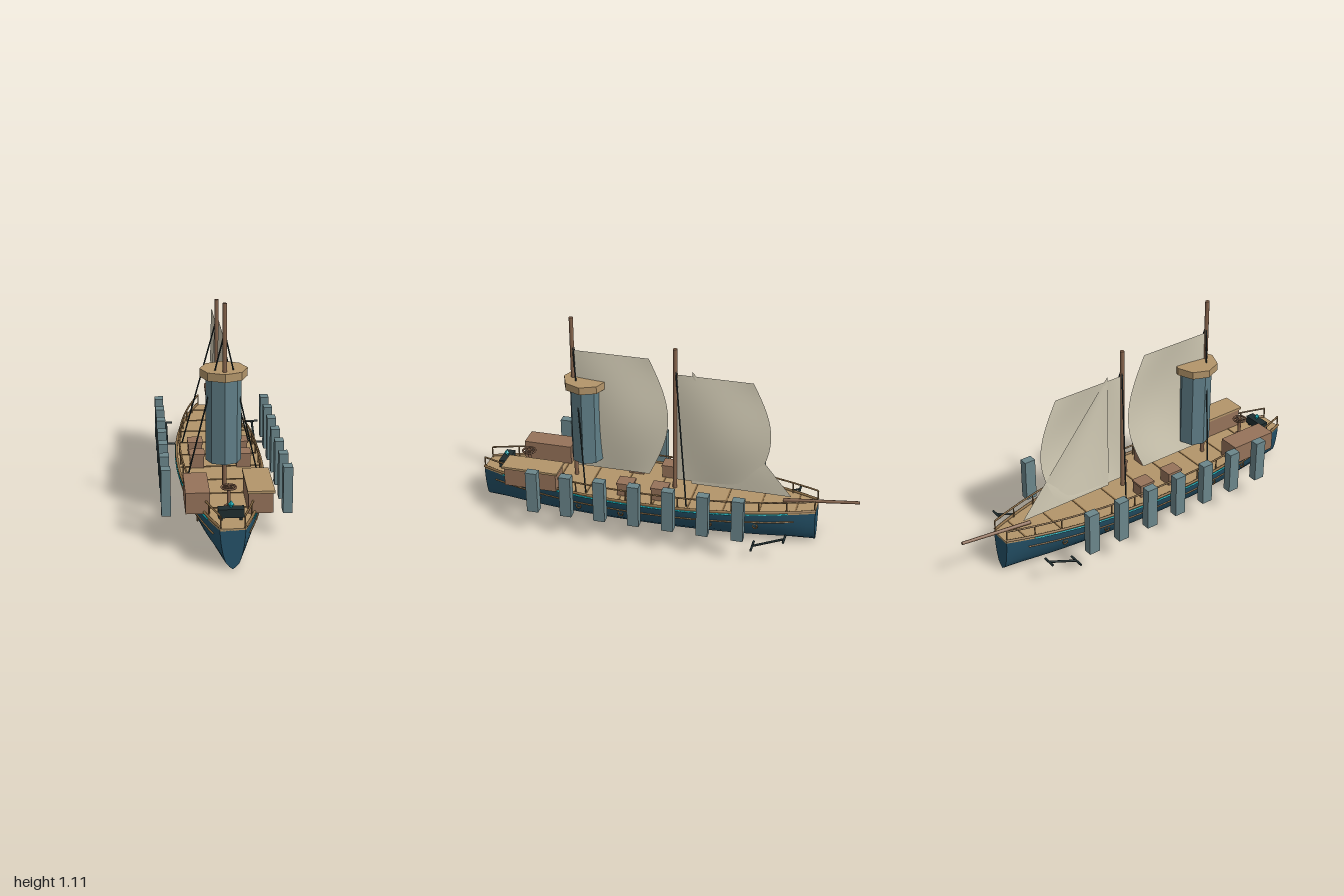
import * as THREE from 'three';

const mat = (name, color, side = THREE.FrontSide) => {
  const m = new THREE.MeshStandardMaterial({ color, side });
  m.name = name;
  return m;
};
const V = (x, y, z) => new THREE.Vector3(x, y, z);

export function createModel() {
  const root = new THREE.Group();
  root.name = 'sailingShip';
  const hullBlue = mat('hullBlue', 0x25536a);
  const tan = mat('deckTan', 0xb3956a);
  const brown = mat('crateBrown', 0x96735a);
  const mastBrown = mat('mastBrown', 0x86644c);
  const trim = mat('trimBrown', 0x8f7048);
  const slate = mat('slateTeal', 0x6b868b);
  const towerBlue = mat('towerBlue', 0x607f88);
  const sailCloth = mat('sailCloth', 0xd2cbb5, THREE.DoubleSide);
  const iron = mat('darkIron', 0x1f2d2f);
  const cyan = mat('glowCyan', 0x12b5c0);

  const add = (name, geo, material, x = 0, y = 0, z = 0, parent = root) => {
    const m = new THREE.Mesh(geo, material);
    m.name = name;
    m.position.set(x, y, z);
    parent.add(m);
    return m;
  };
  // Box given by its min and max corners
  const box = (name, m, x0, x1, y0, y1, z0, z1) =>
    add(name, new THREE.BoxGeometry(x1 - x0, y1 - y0, z1 - z0), m, (x0 + x1) / 2, (y0 + y1) / 2, (z0 + z1) / 2);
  // Round bar between two points
  const rod = (name, m, a, b, r, sides = 8, r2 = r) => {
    const d = b.clone().sub(a);
    const mesh = add(name, new THREE.CylinderGeometry(r2, r, d.length(), sides), m);
    mesh.position.copy(a).addScaledVector(d, 0.5);
    mesh.quaternion.setFromUnitVectors(V(0, 1, 0), d.normalize());
    return mesh;
  };

  // Plan outline and cross-section of the hull
  const bow = -0.785, stern = 1;
  const halfWidth = z => 0.058 + 0.157 * (1 - Math.pow(Math.min(1, Math.abs((z - 0.107) / 0.893)), 2.2));
  const half = [[0, 0.003], [0.27, 0.015], [0.54, 0.034], [0.74, 0.07], [0.88, 0.115], [0.96, 0.155], [1, 0.192]];
  const section = [...half.slice(1).reverse().map(([x, y]) => [-x, y]), ...half];
  const lengthwise = 40;

  const hull = new THREE.PlaneGeometry(1, 1, lengthwise, section.length - 1);
  const hp = hull.attributes.position;
  for (let i = 0; i < hp.count; i++) {
    const z = stern + (bow - stern) * (hp.getX(i) + 0.5);
    const [sx, sy] = section[Math.round((hp.getY(i) + 0.5) * (section.length - 1))];
    hp.setXYZ(i, sx * halfWidth(z), sy, z);
  }
  hull.computeVertexNormals();
  add('hull', hull, hullBlue);
  const endShape = z => new THREE.ShapeGeometry(
    new THREE.Shape(section.map(([x, y]) => new THREE.Vector2(x * halfWidth(z), y))));
  add('sternPlate', endShape(stern), hullBlue, 0, 0, stern);
  add('bowPlate', endShape(bow).rotateY(Math.PI), hullBlue, 0, 0, bow);

  // Deck with cross planks
  const outline = [];
  for (const s of [1, -1]) for (let i = 0; i <= lengthwise; i++) {
    const t = s > 0 ? i / lengthwise : 1 - i / lengthwise;
    const z = stern + (bow - stern) * t;
    outline.push(new THREE.Vector2(s * halfWidth(z) * 0.985, -z));
  }
  const deck = new THREE.ExtrudeGeometry(new THREE.Shape(outline), { depth: 0.011, bevelEnabled: false });
  add('deck', deck.rotateX(-Math.PI / 2), tan, 0, 0.189, 0);
  for (let i = 0; i < 9; i++) {
    const z = -0.685 + i * 0.18, w = halfWidth(z) * 0.93;
    box('plankSeam', trim, -w, w, 0.199, 0.203, z - 0.004, z + 0.004);
  }

  // Strips that follow the hull on both sides
  const strip = (name, m, s, f, y, z0, z1, r) => {
    const pts = [];
    for (let i = 0; i <= 20; i++) {
      const z = z0 + (z1 - z0) * i / 20;
      pts.push(V(s * halfWidth(z) * f, y, z));
    }
    add(name, new THREE.TubeGeometry(new THREE.CatmullRomCurve3(pts), 40, r, 6), m);
  };

  for (const s of [1, -1]) {
    strip('gunwale', trim, s, 0.985, 0.207, bow, stern, 0.007);
    strip('glowStripe', cyan, s, 1.005, 0.194, -0.65, 0.88, 0.005);
    strip('rubbingStrake', trim, s, 0.945, 0.145, -0.68, 0.93, 0.005);
    strip('handRail', trim, s, 0.91, 0.26, bow + 0.005, stern - 0.005, 0.005);
    for (let i = 0; i <= 13; i++) {
      const z = bow + 0.005 + (stern - bow - 0.01) * i / 13, x = s * halfWidth(z) * 0.91;
      rod('railPost', trim, V(x, 0.195, z), V(x, 0.26, z), 0.004, 6);
    }
    // Portholes
    for (let i = 0; i < 6; i++) {
      const z = 0.67 - i * 0.232;
      const ring = add('porthole', new THREE.TorusGeometry(0.012, 0.004, 6, 14), trim, s * halfWidth(z) * 0.885, 0.115, z);
      ring.rotation.y = Math.PI / 2;
    }
    // Floating side pillars
    for (let i = 0; i < 7; i++) {
      const z = 0.643 - i * 0.179;
      box('sidePillar', slate, s * 0.287 - 0.0225, s * 0.287 + 0.0225, 0.13, 0.36, z - 0.03, z + 0.03);
    }
    // Anchor
    const ax = s * 0.243;
    rod('anchorShank', iron, V(ax, 0.138, -0.66), V(ax, 0.07, -0.5), 0.006);
    rod('anchorStock', iron, V(ax - 0.034, 0.138, -0.66), V(ax + 0.034, 0.138, -0.66), 0.006);
    rod('anchorArms', iron, V(ax - 0.043, 0.07, -0.5), V(ax + 0.043, 0.07, -0.5), 0.006);
    // Deck hatches
    for (const z of [0.012, 0.193]) {
      const x = s * 0.116;
      box('hatch', brown, x - 0.035, x + 0.035, 0.2, 0.262, z - 0.04, z + 0.04);
      box('hatchLid', brown, x - 0.039, x + 0.039, 0.262, 0.273, z - 0.044, z + 0.044);
    }
    // Shrouds
    rod('aftShroud', iron, V(0, 0.97, 0.497), V(s * 0.175, 0.205, 0.395), 0.004, 6);
    rod('foreShroud', iron, V(0, 0.9, -0.038), V(s * 0.175, 0.205, -0.14), 0.004, 6);
  }

  // Masts and bowsprit
  rod('aftMast', mastBrown, V(0, 0.19, 0.5), V(0, 1.11, 0.5), 0.011, 10);
  rod('foreMast', mastBrown, V(0, 0.19, -0.036), V(0, 1.0, -0.036), 0.011, 10);
  rod('bowsprit', mastBrown, V(0, 0.212, -0.61), V(0, 0.256, -0.999), 0.01, 8, 0.008);

  // Sails: u runs from mast to free edge, v from foot to head
  const sail = (name, luff, leech, belly, y0, y1) => {
    const g = new THREE.PlaneGeometry(1, 1, 16, 16), p = g.attributes.position;
    for (let i = 0; i < p.count; i++) {
      const u = p.getX(i) + 0.5, v = p.getY(i) + 0.5;
      const edge = leech - belly * Math.sin(Math.PI * v);
      p.setXYZ(i, 0.034 * Math.sin(Math.PI * u) * Math.sin(Math.PI * v), y0 + (y1 - y0) * v, luff + (edge - luff) * u);
    }
    g.computeVertexNormals();
    add(name, g, sailCloth);
  };
  sail('aftSail', 0.49, 0.1, 0.1, 0.26, 0.93);
  sail('foreSail', -0.045, -0.435, 0.098, 0.25, 0.86);

  // Triangular jib
  const jib = new THREE.PlaneGeometry(1, 1, 10, 10), jp = jib.attributes.position;
  for (let i = 0; i < jp.count; i++) {
    const u = jp.getX(i) + 0.5, v = jp.getY(i) + 0.5;
    jp.setXYZ(i, 0.012 * Math.sin(Math.PI * u) * Math.sin(Math.PI * v), 0.235 + 0.65 * v, -0.125 - 0.525 * u * (1 - v));
  }
  jib.computeVertexNormals();
  add('jib', jib, sailCloth);

  // Eight-sided tower around the aft mast
  const prism = (r, h) => {
    const g = new THREE.CylinderGeometry(r, r, h, 8).toNonIndexed();
    g.computeVertexNormals();
    return g;
  };
  add('tower', prism(0.086, 0.43), towerBlue, 0, 0.535, 0.433);
  add('towerCap', prism(0.115, 0.04), tan, 0, 0.76, 0.433);

  // Cabins on the aft deck
  box('cabinLeft', brown, 0.085, 0.2, 0.2, 0.302, 0.55, 0.83);
  box('cabinRoof', tan, 0.08, 0.207, 0.3, 0.312, 0.54, 0.842);
  box('cabinRight', brown, -0.203, -0.09, 0.2, 0.302, 0.56, 0.82);
  rod('cabinHandle', iron, V(0.112, 0.26, 0.533), V(0.175, 0.26, 0.533), 0.005, 6);

  // Helm with a flat wheel
  const hz = 0.762;
  rod('helmBase', mastBrown, V(0, 0.2, hz), V(0, 0.215, hz), 0.022, 12);
  rod('helmPost', mastBrown, V(0, 0.2, hz), V(0, 0.312, hz), 0.009, 10);
  add('helmWheel', new THREE.TorusGeometry(0.034, 0.005, 6, 20).rotateX(Math.PI / 2), mastBrown, 0, 0.305, hz);
  for (let i = 0; i < 4; i++) {
    const a = i * Math.PI / 4, x = Math.cos(a) * 0.036, z = Math.sin(a) * 0.036;
    rod('helmSpoke', mastBrown, V(-x, 0.305, hz - z), V(x, 0.305, hz + z), 0.003, 6);
  }

  // Stern console with crystal
  box('console', iron, -0.06, 0.06, 0.215, 0.256, 0.866, 0.914);
  for (const x of [-0.045, 0.045]) box('consoleFoot', iron, x - 0.006, x + 0.006, 0.199, 0.216, 0.875, 0.905);
  const crystal = add('crystal', new THREE.OctahedronGeometry(0.02), cyan, 0, 0.272, 0.89);
  crystal.scale.set(0.75, 1, 0.75);

  return root;
}
